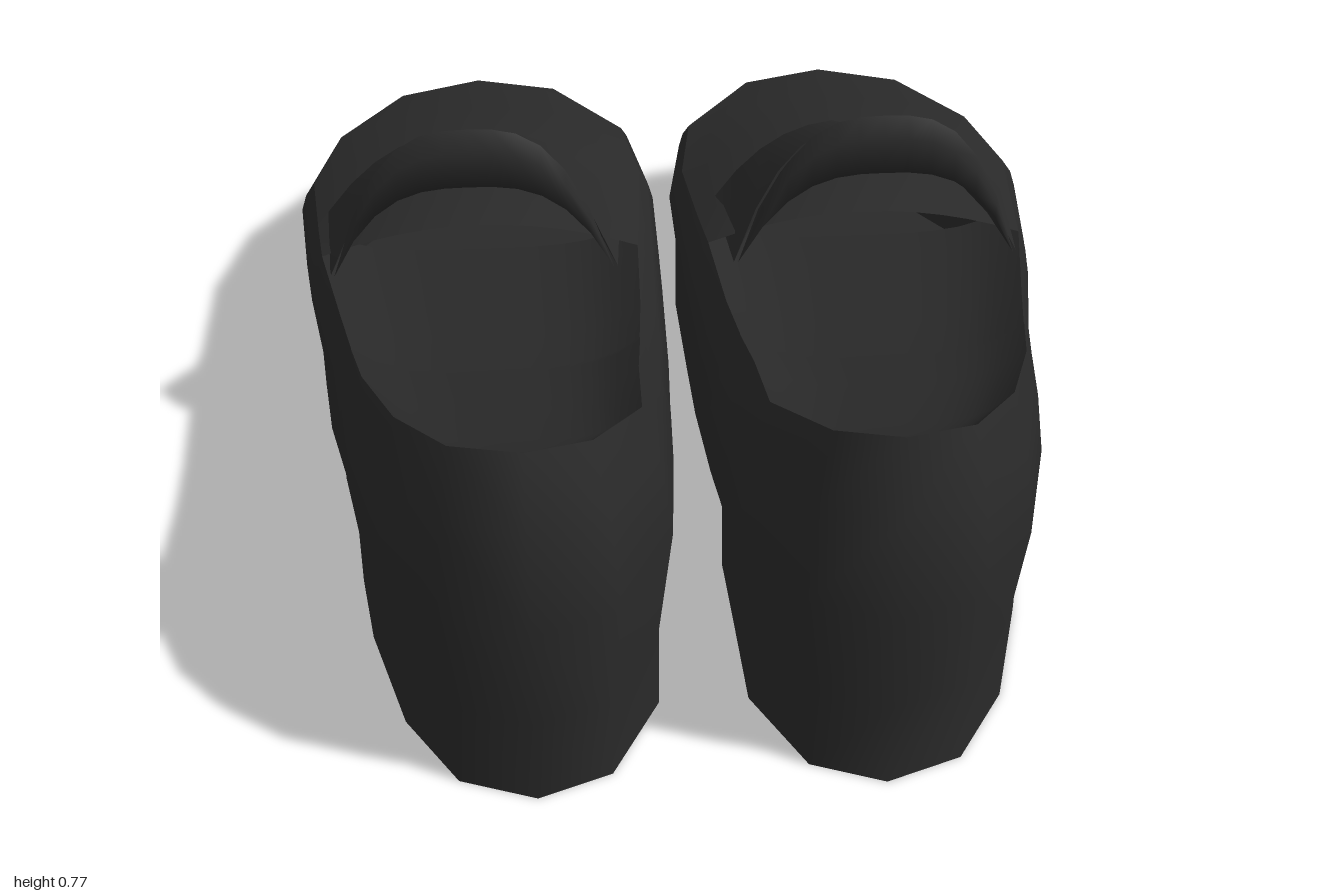
import * as THREE from 'three';

const mix = THREE.MathUtils.lerp;

// Plan of the left shoe, toe -> outer side -> heel -> inner side:
// widest x, z and top rim x, z
const PLAN = [
  [0.39, -1, 0.39, -0.96], [0.57, -0.935, 0.56, -0.9], [0.71, -0.74, 0.69, -0.72],
  [0.765, -0.5, 0.735, -0.5], [0.738, -0.25, 0.708, -0.25], [0.718, -0.1, 0.69, -0.1],
  [0.66, 0.2, 0.635, 0.2], [0.638, 0.365, 0.605, 0.365], [0.636, 0.38, 0.603, 0.38],
  [0.615, 0.55, 0.575, 0.53], [0.55, 0.79, 0.51, 0.74], [0.45, 0.945, 0.42, 0.885],
  [0.3, 1, 0.3, 0.93],
  [0.15, 0.945, 0.19, 0.885], [0.055, 0.75, 0.105, 0.74], [0.04, 0.53, 0.1, 0.53],
  [0.035, 0.38, 0.09, 0.38], [0.035, 0.365, 0.09, 0.365], [0.028, 0.2, 0.08, 0.2],
  [0.022, -0.1, 0.07, -0.1], [0.02, -0.25, 0.06, -0.25], [0.018, -0.5, 0.045, -0.5],
  [0.055, -0.74, 0.075, -0.72], [0.21, -0.95, 0.22, -0.91],
];
const N = PLAN.length, HEEL = N / 2;

// Height of the top rim along the shoe
const RIM = [[-1, 0.325], [-0.75, 0.325], [-0.5, 0.345], [-0.25, 0.39], [0, 0.445],
  [0.3, 0.51], [0.6, 0.61], [0.93, 0.72], [1.1, 0.77]];
function rimY(z) {
  const i = Math.max(1, RIM.findIndex((p) => p[0] >= z));
  const [a, b] = [RIM[i - 1], RIM[i]];
  return mix(a[1], b[1], (z - a[0]) / (b[0] - a[0]));
}
const soleY = (z) => (z > -0.1 && z < 0.372 ? (z + 0.1) / 0.465 * 0.13 : 0);
const wideY = (z) => mix(0.26, 0.4, THREE.MathUtils.smoothstep(z, -1, 1));

// Plan point moved from widest line (0) towards the rim line (1)
function planPoint(i, inset, height) {
  const p = PLAN[i % N];
  const z = mix(p[1], p[3], inset);
  return [mix(p[0], p[2], inset), height(z, p), z];
}

// Surface through rows of points; side -1 mirrors it in x
function loft(rows, side, flat = false) {
  const w = rows[0].length, index = [];
  for (let i = 0; i < rows.length - 1; i++) {
    for (let j = 0; j < w - 1; j++) {
      const a = i * w + j, b = a + 1, d = a + w, c = d + 1;
      if (side > 0) index.push(a, d, b, b, d, c);
      else index.push(a, b, d, b, c, d);
    }
  }
  let g = new THREE.BufferGeometry();
  const pos = rows.flat().flatMap(([x, y, z]) => [x * side, y, z]);
  g.setAttribute('position', new THREE.Float32BufferAttribute(pos, 3));
  g.setIndex(index);
  if (flat) g = g.toNonIndexed();
  g.computeVertexNormals();
  return g;
}

// Arched row between two points, raised by h and pushed by dz in the middle
function arch(L, R, h, dz, power, notch = 0) {
  const row = [];
  for (let j = 0; j <= 12; j++) {
    const t = j / 12, k = 1 - Math.abs(2 * t - 1) ** power;
    row.push([mix(L[0], R[0], t), mix(L[1], R[1], t) + h * k,
      mix(L[2], R[2], t) + dz * k + (j === 6 ? notch : 0)]);
  }
  return row;
}
// Arched row between opposite points of the rim
function rimArch(i, h, power) {
  const rim = (k) => planPoint(k, 1, rimY);
  return arch(rim(N - i), rim(i), h, 0, power);
}

function buildShoe(side, material) {
  const shoe = new THREE.Group();
  const add = (name, rows, flat) => {
    const mesh = new THREE.Mesh(loft(rows, side, flat), material);
    mesh.name = name;
    shoe.add(mesh);
  };

  // Outer wall, bottom to rim
  const levels = [
    [0.5, soleY],
    [0.5, () => 0.17],
    [0, (z) => wideY(z)],
    [0.37, (z) => mix(wideY(z), rimY(z), 0.56)],
    [1, rimY],
  ];
  add('upperWall', levels.map(([inset, y]) =>
    Array.from({ length: N + 1 }, (_, i) => planPoint(i, inset, y))));

  // Sole with raised arch and heel block
  const sole = [];
  for (let i = HEEL; i >= 0; i--) sole.push([planPoint(N - i, 0.5, soleY), planPoint(i, 0.5, soleY)]);
  add('soleAndHeel', sole, true);

  // Domed toe cover
  add('vamp', [0, 0.015, 0.06, 0.105, 0.1, 0.06].map((h, i) => rimArch(i, h, 2)));

  // Shallow footbed inside the opening
  const bed = [];
  for (let i = 4; i <= HEEL; i++) bed.push(rimArch(i, i === HEEL ? 0 : i === HEEL - 1 ? -0.035 : -0.06, 4));
  add('insole', bed);

  // Raised tongue with a rolled edge and an inner lining
  const tL = [0.12, 0.44, 0], tR = [0.66, 0.44, 0];
  const tongue = [[0.18, -0.17], [0.21, -0.13], [0.33, 0.02]];
  const lining = [[0.33, 0.02], [0.29, 0.04], [0.22, 0.045], [0.13, -0.15]];
  const tongueRows = (list) => list.map(([h, dz]) => arch(tL, tR, h, dz, 3));
  add('tongue', tongueRows(tongue));
  add('tongueLining', tongueRows(lining));

  // Strap across the instep, notched at its leading edge
  const fL = [0.095, 0.4, -0.3], fR = [0.69, 0.4, -0.3];
  const bL = [0.113, 0.435, -0.01], bR = [0.668, 0.435, -0.01];
  const lead = arch(fL, fR, 0.14, -0.065, 2.5, 0.03);
  const trail = arch(bL, bR, 0.22, -0.14, 2.7);
  add('strap', [lead, trail]);
  add('strapFrontEdge', [arch(fL, fR, 0.05, -0.055, 2.5, 0.03), lead]);
  add('strapBackEdge', [trail, arch(bL, bR, 0.19, -0.14, 2.7)]);
  return shoe;
}

export function createModel() {
  const leather = new THREE.MeshStandardMaterial({ color: 0x2a2a2a, side: THREE.DoubleSide });
  leather.name = 'blackLeather';
  const model = new THREE.Group();
  model.name = 'pairOfLoafers';
  for (const side of [1, -1]) {
    const shoe = buildShoe(side, leather);
    shoe.name = side > 0 ? 'leftShoe' : 'rightShoe';
    model.add(shoe);
  }
  return model;
}
